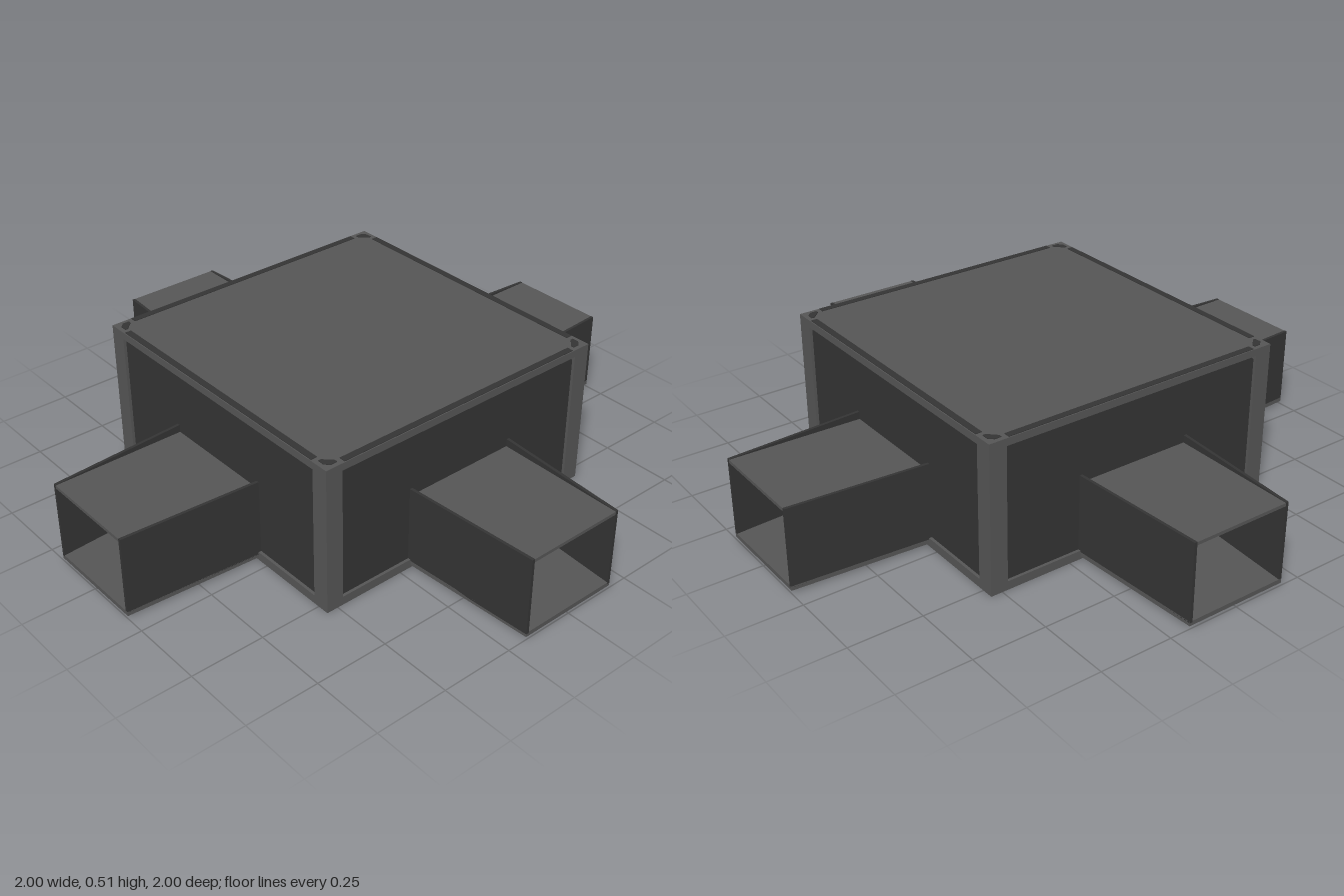
import * as THREE from 'three';

const frameGrey = new THREE.MeshStandardMaterial({ color: 0x555555 });
frameGrey.name = 'frame grey';
const panelGrey = new THREE.MeshStandardMaterial({ color: 0x343434 });
panelGrey.name = 'panel dark grey';

function add(parent, name, geometry, material) {
  const mesh = new THREE.Mesh(geometry, material);
  mesh.name = name;
  parent.add(mesh);
  return mesh;
}

// Box given by its lower and upper corners
function box(parent, name, material, x0, x1, y0, y1, z0, z1) {
  const g = new THREE.BoxGeometry(x1 - x0, y1 - y0, z1 - z0);
  g.translate((x0 + x1) / 2, (y0 + y1) / 2, (z0 + z1) / 2);
  return add(parent, name, g, material);
}

const toShape = (pts) => new THREE.Shape(pts.map(([x, y]) => new THREE.Vector2(x, y)));

// Upright prism over a plan outline of [x, z] points
function prism(outline, y0, y1) {
  const g = new THREE.ExtrudeGeometry(toShape(outline.map(([x, z]) => [x, -z])), { depth: y1 - y0, bevelEnabled: false });
  return g.rotateX(-Math.PI / 2).translate(0, y0, 0);
}

// Upright slab facing +z with a doorway cut through it
function doorSlab(outline, w, y0, y1, z0, z1) {
  const shape = toShape(outline);
  shape.holes.push(new THREE.Path([[-w, y0], [-w, y1], [w, y1], [w, y0]].map(([x, y]) => new THREE.Vector2(x, y))));
  return new THREE.ExtrudeGeometry(shape, { depth: z1 - z0, bevelEnabled: false }).translate(0, 0, z0);
}

function createTunnel() {
  const tunnel = new THREE.Group();
  tunnel.name = 'entranceTunnel';
  const zIn = 0.528, zOut = 1, wIn = 0.21, wOut = 0.18, t = 0.01;

  add(tunnel, 'tunnelFloor', prism([[-wIn, zIn], [-wOut, zOut], [wOut, zOut], [wIn, zIn]], 0.01, 0.025), frameGrey);

  // Tapering side walls
  for (const s of [-1, 1]) {
    const outline = [[s * wIn, zIn], [s * wOut, zOut], [s * (wOut - t), zOut], [s * (wIn - t), zIn]];
    add(tunnel, 'tunnelWall', prism(outline, 0.02, 0.29), panelGrey);
  }

  // Roof dips slightly toward the room
  const a = wIn - t, b = wOut - t;
  const roof = prism([[-a, zIn], [-b, zOut], [b, zOut], [a, zIn]], 0.278, 0.289);
  const p = roof.attributes.position;
  for (let i = 0; i < p.count; i++) {
    p.setY(i, p.getY(i) - 0.025 * (zOut - p.getZ(i)) / (zOut - zIn));
  }
  roof.computeVertexNormals();
  add(tunnel, 'tunnelRoof', roof, frameGrey);
  return tunnel;
}

function createSide() {
  const side = new THREE.Group();
  side.name = 'roomSide';

  // Recessed wall panel with clipped upper corners, and its doorway surround
  const panel = [[-0.48, 0.025], [0.48, 0.025], [0.48, 0.47], [0.465, 0.485], [-0.465, 0.485], [-0.48, 0.47]];
  add(side, 'wallPanel', doorSlab(panel, 0.07, 0.03, 0.23, 0.5, 0.53), panelGrey);
  const surround = [[-0.11, 0.026], [0.11, 0.026], [0.11, 0.26], [-0.11, 0.26]];
  add(side, 'doorFrame', doorSlab(surround, 0.07, 0.03, 0.23, 0.495, 0.535), frameGrey);

  // Dark band along the roof edge
  box(side, 'roofEdgeBand', panelGrey, -0.47, 0.47, 0.508, 0.512, 0.515, 0.537);

  // Corner post and its small roof accent
  box(side, 'cornerPost', frameGrey, 0.48, 0.54, 0.03, 0.485, 0.48, 0.54);
  const accent = [[0.487, 0.515], [0.515, 0.487], [0.525, 0.487], [0.525, 0.51], [0.51, 0.525], [0.487, 0.525]];
  add(side, 'roofCornerAccent', prism(accent, 0.508, 0.512), panelGrey);

  side.add(createTunnel());
  return side;
}

export function createModel() {
  const model = new THREE.Group();
  model.name = 'crossroadsRoom';

  box(model, 'roomFloor', frameGrey, -0.54, 0.54, 0, 0.03, -0.54, 0.54);
  box(model, 'roomRoof', frameGrey, -0.54, 0.54, 0.485, 0.51, -0.54, 0.54);

  // Four identical sides
  for (let i = 0; i < 4; i++) {
    const side = createSide();
    side.rotation.y = i * Math.PI / 2;
    model.add(side);
  }
  return model;
}
